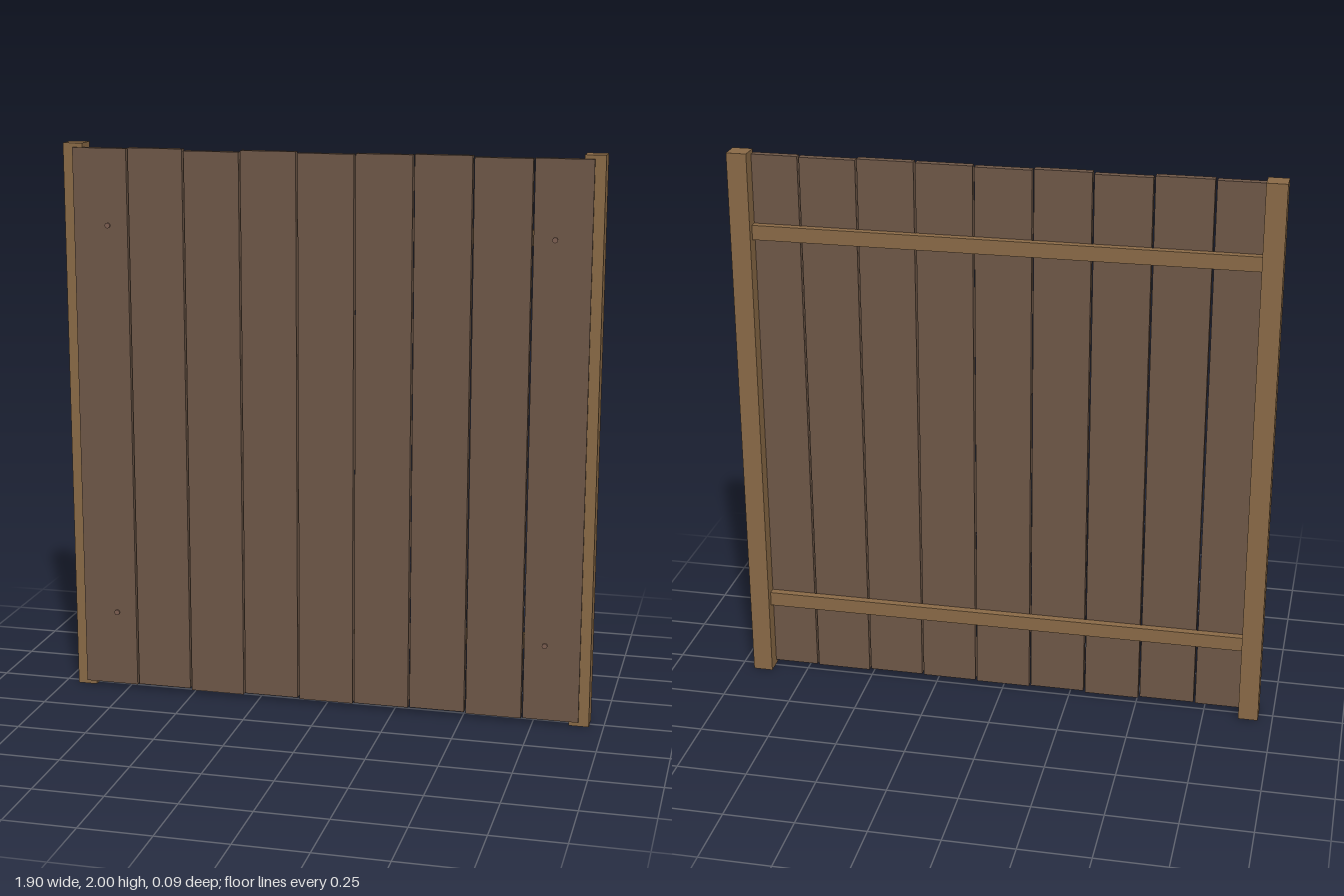
import * as THREE from 'three';

export function createModel() {
  const group = new THREE.Group();
  const postWood = new THREE.MeshStandardMaterial({ color: 0x8b6b47 });
  postWood.name = 'postWood';
  const boardWood = new THREE.MeshStandardMaterial({ color: 0x6f5848 });
  boardWood.name = 'boardWood';
  const nailMetal = new THREE.MeshStandardMaterial({ color: 0x7d5f52 });
  nailMetal.name = 'nailMetal';

  const add = (name, geometry, material, x, y, z) => {
    const mesh = new THREE.Mesh(geometry, material);
    mesh.name = name;
    mesh.position.set(x, y, z);
    group.add(mesh);
    return mesh;
  };

  // Two full-height square posts
  for (const side of [-1, 1]) {
    add(side > 0 ? 'leftPost' : 'rightPost',
      new THREE.BoxGeometry(0.071, 2, 0.073), postWood, side * 0.9135, 1, -0.0065);
  }

  // Horizontal rails behind the boards, with a nail near each end
  for (const [name, y] of [['lower', 0.29], ['upper', 1.715]]) {
    add(name + 'Rail', new THREE.BoxGeometry(1.8, 0.052, 0.028), postWood, 0, y, -0.004);
    for (const side of [-1, 1]) {
      const nail = add(name + 'Nail', new THREE.CylinderGeometry(0.01, 0.01, 0.012, 8),
        nailMetal, side * 0.788, y, 0.038);
      nail.rotation.x = Math.PI / 2;
    }
  }

  // Vertical boards with slightly uneven heights and narrow gaps
  const shifts = [0, 0.003, -0.003, 0.003, -0.001, 0.002, 0.004, -0.001, 0.001];
  shifts.forEach((shift, i) => {
    add('board' + (i + 1), new THREE.BoxGeometry(0.197, 1.97, 0.028), boardWood,
      (i - 4) * 0.2035, 1 + shift, 0.024);
  });

  return group;
}
